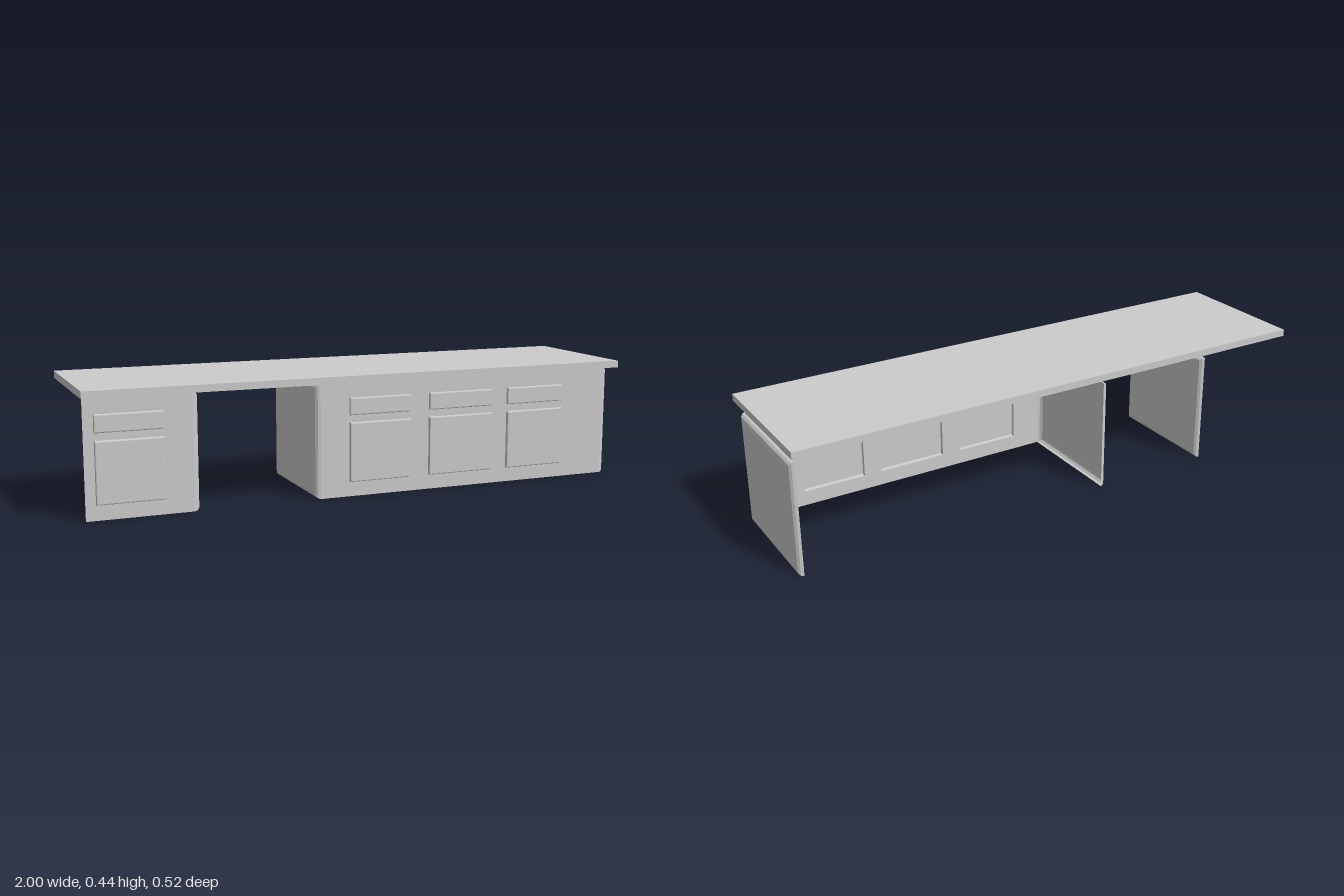
import * as THREE from 'three';

const HEIGHT = 0.405, FRONT = 0.176, BACK = -0.256, ROUND = 0.02;
const material = new THREE.MeshStandardMaterial({ color: 0xcccccc, flatShading: true, side: THREE.DoubleSide });

function mesh(name, geometry, x, y, z) {
  const m = new THREE.Mesh(geometry, material);
  m.name = name;
  m.position.set(x, y, z);
  return m;
}

// Open-backed rectangular pan facing +z: rectangles lofted through [inset, depth] steps, then capped
function panGeometry(w, h, steps) {
  const positions = [], index = [];
  for (const [inset, depth] of steps) {
    const a = w / 2 - inset, b = h / 2 - inset;
    positions.push(-a, -b, depth, a, -b, depth, a, b, depth, -a, b, depth);
  }
  for (let s = 0; s < steps.length - 1; s++) {
    for (let i = 0; i < 4; i++) {
      const p = s * 4 + i, q = s * 4 + (i + 1) % 4;
      index.push(p, q, q + 4, p, q + 4, p + 4);
    }
  }
  const c = (steps.length - 1) * 4;
  index.push(c, c + 1, c + 2, c, c + 2, c + 3);
  const g = new THREE.BufferGeometry();
  g.setAttribute('position', new THREE.Float32BufferAttribute(positions, 3));
  g.setIndex(index);
  const flat = g.toNonIndexed();
  flat.computeVertexNormals();
  return flat;
}

// Side sheet with a rounded rim; dir is the x direction it faces
function sidePanel(x, dir) {
  const steps = [];
  for (let i = 0; i <= 3; i++) {
    const t = (i / 3) * Math.PI / 2;
    steps.push([ROUND * (1 - Math.cos(t)), ROUND * Math.sin(t)]);
  }
  const panel = mesh('sidePanel', panGeometry(FRONT - BACK, HEIGHT, steps),
    x - dir * ROUND, HEIGHT / 2, (FRONT + BACK) / 2);
  panel.rotation.y = dir * Math.PI / 2;
  return panel;
}

function rectangle(path, x0, x1, y0, y1) {
  path.moveTo(x0, y0);
  path.lineTo(x1, y0);
  path.lineTo(x1, y1);
  path.lineTo(x0, y1);
  path.closePath();
  return path;
}

// Cabinet shell: front sheet with raised hollow doors and drawers, open at back, top and bottom
function cabinet(name, x0, x1, columns, openLeftEnd) {
  const group = new THREE.Group();
  group.name = name;
  const sheet = rectangle(new THREE.Shape(), openLeftEnd ? x0 : x0 + ROUND, x1 - ROUND, 0, HEIGHT);
  const fronts = [['drawer', 0.291, 0.352, 0.01], ['door', 0.053, 0.265, 0.012]];
  for (const [a, b] of columns) {
    for (const [part, y0, y1, depth] of fronts) {
      sheet.holes.push(rectangle(new THREE.Path(), a, b, y0, y1));
      const steps = [[0, 0], [0, depth - 0.004], [0.0012, depth - 0.0012], [0.004, depth]];
      group.add(mesh(part, panGeometry(b - a, y1 - y0, steps), (a + b) / 2, (y0 + y1) / 2, FRONT));
    }
  }
  group.add(mesh('frontSheet', new THREE.ShapeGeometry(sheet), 0, 0, FRONT));
  group.add(sidePanel(x1, 1));
  if (!openLeftEnd) group.add(sidePanel(x0, -1));
  return group;
}

export function createModel() {
  const model = new THREE.Group();
  model.name = 'counter';
  model.add(mesh('countertop', new THREE.BoxGeometry(1.99, 0.025, 0.52), -0.005, 0.4285, 0));
  model.add(cabinet('smallCabinet', -0.985, -0.6, [[-0.95, -0.72]], true));
  model.add(cabinet('largeCabinet', -0.187, 1, [[-0.06, 0.173], [0.248, 0.5], [0.566, 0.796]], false));
  return model;
}
